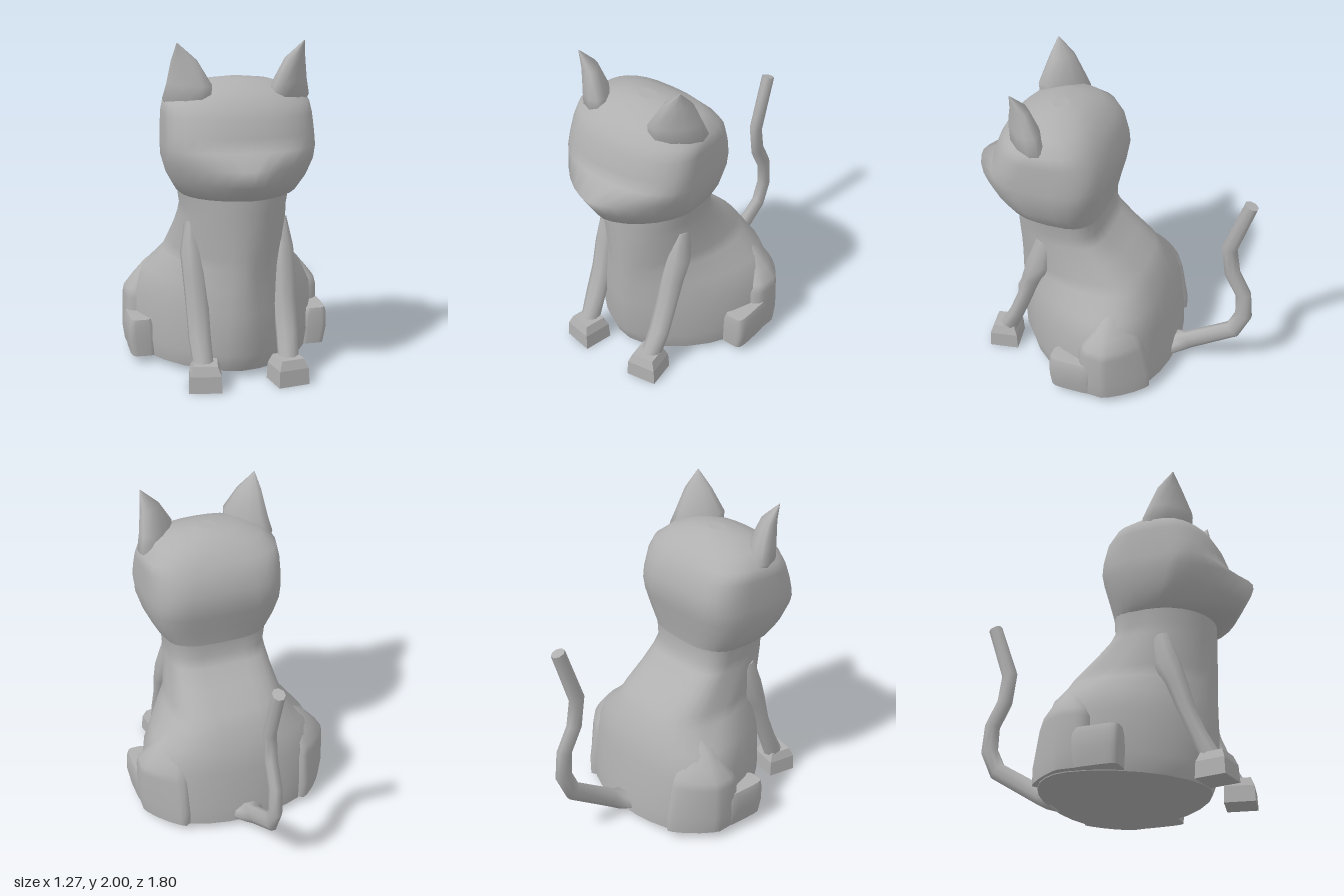
import * as THREE from 'three';

const gray = new THREE.MeshStandardMaterial({ color: 0xb0b0b0 });
gray.name = 'grayClay';

const pw = (v, e) => Math.sign(v) * Math.pow(Math.abs(v), e);

// Skin a list of equal-length rings; the ends are capped with separate flat faces.
function loft(rings, { side = 1, flat = false } = {}) {
  const n = rings[0].length;
  if (side < 0) rings = rings.map(r => r.map(p => new THREE.Vector3(-p.x, p.y, p.z)).reverse());
  const pos = [], idx = [];
  const add = p => pos.push(p.x, p.y, p.z) / 3 - 1;
  rings.forEach(r => r.forEach(add));
  for (let i = 0; i < rings.length - 1; i++) {
    for (let j = 0; j < n; j++) {
      const a = i * n + j, b = i * n + (j + 1) % n;
      idx.push(a, b, b + n, a, b + n, a + n);
    }
  }
  for (const [ring, up] of [[rings[0], false], [rings[rings.length - 1], true]]) {
    const mid = new THREE.Vector3();
    ring.forEach(p => mid.addScaledVector(p, 1 / n));
    const c = add(mid), s = c + 1;
    ring.forEach(add);
    for (let j = 0; j < n; j++) {
      const a = s + j, b = s + (j + 1) % n;
      up ? idx.push(c, a, b) : idx.push(c, b, a);
    }
  }
  let g = new THREE.BufferGeometry();
  g.setAttribute('position', new THREE.Float32BufferAttribute(pos, 3));
  g.setIndex(idx);
  if (flat) g = g.toNonIndexed();
  g.computeVertexNormals();
  return g;
}

// Level cross-section with different roundness at back and front.
function section([y, w, zw, zb, zf, eb, ef], cx = 0, n = 28) {
  return Array.from({ length: n }, (_, j) => {
    const a = j / n * Math.PI * 2, c = Math.cos(a), e = c > 0 ? ef : eb;
    const x = cx + w * pw(Math.sin(a), e);
    return new THREE.Vector3(x, y, zw + (c > 0 ? zf - zw : zw - zb) * pw(c, e));
  });
}

// Level oval or rounded rectangle, optionally swung round the upright axis.
function oval(x, y, z, rx, rz, { n = 8, e = 1, swing = 0 } = {}) {
  const up = new THREE.Vector3(0, 1, 0);
  return Array.from({ length: n }, (_, j) => {
    const a = (j + 0.5) / n * Math.PI * 2;
    return new THREE.Vector3(rx * pw(Math.sin(a), e), 0, rz * pw(Math.cos(a), e))
      .applyAxisAngle(up, swing).add(new THREE.Vector3(x, y, z));
  });
}

// Rings set square to a path of [x, y, z, half width, half depth].
function limb(path, n) {
  return path.map((p, i) => {
    const a = path[Math.max(i - 1, 0)], b = path[Math.min(i + 1, path.length - 1)];
    const t = new THREE.Vector2(b[1] - a[1], b[2] - a[2]).normalize();
    return Array.from({ length: n }, (_, j) => {
      const q = (j + 0.5) / n * Math.PI * 2, d = p[4] * Math.cos(q);
      return new THREE.Vector3(p[0] + p[3] * Math.sin(q), p[1] - t.y * d, p[2] + t.x * d);
    });
  });
}

export function createModel() {
  const model = new THREE.Group();
  model.name = 'sittingCat';
  const put = (name, geometry) => {
    const m = new THREE.Mesh(geometry, gray);
    m.name = name;
    model.add(m);
  };

  // Torso: height, half width, widest z, back z, front z, back and front roundness
  put('torso', loft([
    [0.04, 0.57, -0.08, -0.415, 0.59, 0.95, 1.15],
    [0.15, 0.59, -0.08, -0.41, 0.64, 0.95, 1.2],
    [0.4, 0.58, -0.07, -0.37, 0.65, 0.92, 1.25],
    [0.55, 0.5, -0.02, -0.335, 0.65, 0.85, 1.25],
    [0.67, 0.385, 0.08, -0.265, 0.65, 0.7, 1.15],
    [0.74, 0.36, 0.14, -0.215, 0.65, 0.65, 1.1],
    [0.85, 0.335, 0.22, -0.085, 0.65, 0.6, 1.05],
    [0.95, 0.32, 0.28, 0.025, 0.65, 0.55, 1.0],
    [1.01, 0.315, 0.31, 0.06, 0.65, 0.55, 1.0],
    [1.11, 0.33, 0.32, 0.06, 0.65, 0.55, 1.0],
  ].map(r => section(r))));

  // Head, with broad cheeks running straight to the pointed muzzle
  put('head', loft([
    [1.1, 0.33, 0.34, 0.06, 0.65, 0.55, 1.0],
    [1.13, 0.36, 0.4, 0.055, 0.78, 0.55, 1.2],
    [1.21, 0.405, 0.45, 0.04, 0.83, 0.52, 1.25],
    [1.32, 0.437, 0.5, 0.015, 0.9, 0.48, 1.3],
    [1.4, 0.44, 0.5, 0.0, 0.765, 0.48, 0.9],
    [1.48, 0.438, 0.48, 0.005, 0.745, 0.5, 0.9],
    [1.58, 0.435, 0.44, 0.03, 0.71, 0.55, 0.9],
    [1.65, 0.425, 0.41, 0.08, 0.67, 0.6, 0.9],
    [1.72, 0.34, 0.38, 0.14, 0.6, 0.75, 0.9],
    [1.765, 0.2, 0.36, 0.23, 0.49, 1, 1],
    [1.78, 0.06, 0.36, 0.31, 0.41, 1, 1],
  ].map(r => section(r))));

  // Tail, flared where it meets the body
  put('tail', loft(limb([
    [0, 0.075, -0.37, 0.13, 0.055], [0, 0.105, -0.43, 0.085, 0.068],
    [0, 0.135, -0.495, 0.039, 0.062], [0, 0.32, -0.785, 0.039, 0.06],
    [0, 0.46, -0.847, 0.039, 0.056], [0, 0.625, -0.835, 0.039, 0.051],
    [0, 0.78, -0.755, 0.039, 0.051], [0, 0.965, -0.727, 0.039, 0.051],
    [0, 1.315, -0.843, 0.039, 0.045],
  ], 8)));

  for (const side of [1, -1]) {
    const tag = side > 0 ? 'left' : 'right';

    // Ear: a narrow oval running from the inner front to the outer back
    put(tag + 'Ear', loft([
      [0.285, 1.57, 0.42, 0.13, 0.07], [0.305, 1.67, 0.455, 0.17, 0.088],
      [0.295, 1.76, 0.475, 0.155, 0.08], [0.325, 1.9, 0.485, 0.085, 0.05],
      [0.37, 2.0, 0.52, 0.003, 0.003],
    ].map(r => oval(...r, { n: 10, swing: Math.PI / 4 })), { side }));

    // Front leg and paw
    put(tag + 'FrontLeg', loft(limb([
      [0.255, 0.1, 0.69, 0.06, 0.062], [0.265, 0.28, 0.605, 0.068, 0.05],
      [0.265, 0.45, 0.535, 0.07, 0.052], [0.27, 0.62, 0.48, 0.072, 0.065],
      [0.275, 0.75, 0.42, 0.07, 0.085], [0.28, 0.93, 0.38, 0.03, 0.06],
    ], 8), { side }));
    put(tag + 'FrontPaw', loft(
      [[0, 0.137], [0.1, 0.13], [0.155, 0.1]].map(([y, r]) =>
        oval(0.25, y, 0.7, r, r * 0.97, { n: 4, swing: 0.17 })),
      { side, flat: true }));

    // Thigh, tapering back into the torso: the last number is its centre x
    put(tag + 'Thigh', loft([
      [0.045, 0.21, -0.11, -0.36, 0.06, 1.6, 0.5, 0.405],
      [0.15, 0.225, -0.11, -0.36, 0.07, 1.6, 0.5, 0.405],
      [0.36, 0.22, -0.11, -0.32, 0.07, 1.5, 0.5, 0.405],
      [0.41, 0.21, -0.11, -0.3, 0.05, 1.4, 0.55, 0.405],
      [0.48, 0.175, -0.1, -0.26, 0.02, 1.3, 0.7, 0.385],
      [0.56, 0.13, -0.09, -0.2, 0.0, 1.2, 0.9, 0.36],
      [0.63, 0.08, -0.08, -0.15, 0.0, 1, 1, 0.32],
    ].map(r => section(r, r[7], 20)), { side }));

    // Hind foot
    const block = (y, x0, x1, z0, z1) =>
      oval((x0 + x1) / 2, y, (z0 + z1) / 2, (x1 - x0) / 2, (z1 - z0) / 2, { n: 20, e: 0.4 });
    put(tag + 'HindFoot', loft([
      block(0.045, 0.46, 0.615, -0.05, 0.238), block(0.15, 0.46, 0.635, -0.05, 0.245),
      block(0.24, 0.47, 0.632, -0.05, 0.245), block(0.28, 0.49, 0.62, -0.05, 0.24),
    ], { side }));
  }
  return model;
}
